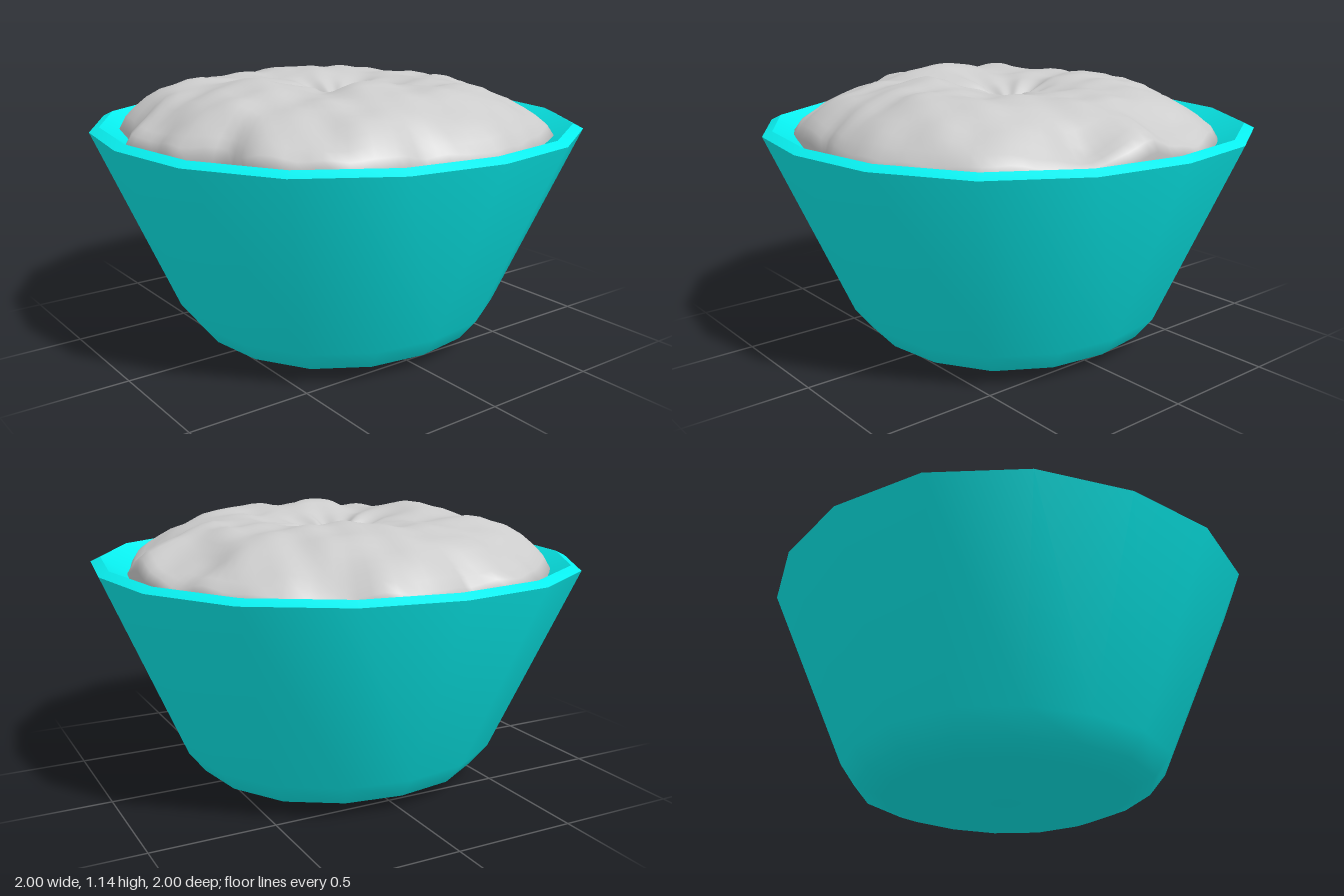
import * as THREE from 'three';
import { toCreasedNormals } from 'three/addons/utils/BufferGeometryUtils.js';

// Linear lookup in rows of [key, value, value, ...]
function lookup(rows, k, column) {
  const i = Math.max(1, rows.findIndex((row) => k <= row[0]));
  const [a, b] = [rows[i - 1], rows[i]];
  return THREE.MathUtils.mapLinear(k, a[0], b[0], a[column], b[column]);
}

// Edge of the filling: [angle in degrees from +x towards +z, radius, height]
const EDGE = [
  [0, 0.85, 0.93], [9, 0.86, 0.92], [23, 0.86, 0.89], [45, 0.92, 0.88], [61, 0.88, 0.87],
  [79, 0.87, 0.87], [90, 0.84, 0.87], [101, 0.81, 0.87], [124, 0.9, 0.89], [146, 0.885, 0.91],
  [155, 0.78, 0.88], [169, 0.877, 0.89], [180, 0.85, 0.88], [193, 0.9, 0.88], [203, 0.83, 0.87],
  [214, 0.92, 0.88], [229, 0.886, 0.88], [248, 0.915, 0.89], [258, 0.82, 0.87],
  [281, 0.896, 0.89], [293, 0.847, 0.88], [315, 0.884, 0.88], [337, 0.87, 0.89],
  [350, 0.853, 0.92], [360, 0.85, 0.93],
];

// Filling cross-section from the dimple over the edge to the underside: [radius factor, height]
const SECTION = [
  [0, 0.99], [0.05, 1.01], [0.1, 1.03], [0.15, 1.05], [0.2, 1.063], [0.26, 1.075], [0.34, 1.085],
  [0.4, 1.09], [0.46, 1.092], [0.52, 1.092], [0.58, 1.09], [0.64, 1.082], [0.7, 1.068],
  [0.76, 1.048], [0.82, 1.02], [0.88, 0.982], [0.93, 0.945], [0.97, 0.905], [1, 0.85],
  [0.95, 0.74], [0.83, 0.58], [0.5, 0.47], [0, 0.45],
];
const EDGE_RING = 18;

// Swells and hollows of the filling: [x, z, amount, spread]
const SWELLS = [
  [-0.4, 0.04, 0.045, 0.16], [-0.06, 0.34, 0.045, 0.14], [0.24, 0.55, 0.025, 0.16],
  [-0.62, -0.38, 0.045, 0.17], [0.1, -0.3, 0.03, 0.14], [-0.3, 0.72, 0.02, 0.14],
  [-0.7, 0.2, 0.025, 0.14], [0.7, 0.25, -0.07, 0.14], [0.7, -0.2, -0.06, 0.16],
  [0.73, 0.02, 0.025, 0.08], [0.4, -0.66, -0.03, 0.17],
];

function surfaceRelief(x, z) {
  let y = 0.009 * Math.sin(17 * x + 11 * z) * Math.sin(14 * z - 9 * x + 2)
    + 0.006 * Math.sin(25 * x - 13 * z) * Math.sin(21 * z + 16 * x + 1);
  for (const [cx, cz, amount, spread] of SWELLS) {
    y += amount * Math.exp(-((x - cx) ** 2 + (z - cz) ** 2) / spread ** 2);
  }
  return y;
}

function fillingGeometry() {
  const sides = 120;
  const positions = [], index = [];
  SECTION.forEach(([factor, height], ring) => {
    for (let j = 0; j < sides; j++) {
      const degrees = (j / sides) * 360;
      const a = THREE.MathUtils.degToRad(degrees);
      // the ragged outline fades into a circle towards the middle
      const r = factor * THREE.MathUtils.lerp(0.87, lookup(EDGE, degrees, 1), factor ** 3);
      const x = r * Math.cos(a), z = r * Math.sin(a);
      let y = height + (lookup(EDGE, degrees, 2) - 0.85) * factor ** 8;
      if (ring <= EDGE_RING) {
        // creases radiate from the dimple
        const crease = Math.exp(-(((factor - 0.16) / 0.12) ** 2)) * Math.min(1, factor * 10);
        y += surfaceRelief(x, z) * Math.min(1, factor * 4);
        y += crease * (0.009 * Math.sin(9 * a + 9 * r) + 0.009 * Math.sin(5 * a - 6 * r + 1.3));
      }
      positions.push(x, y, z);
    }
  });
  // triangle fans close both poles
  for (let i = 0; i < SECTION.length - 1; i++) {
    for (let j = 0; j < sides; j++) {
      const a = i * sides + j, b = i * sides + (j + 1) % sides;
      const c = a + sides, d = b + sides;
      if (i > 0) index.push(a, b, c);
      if (i < SECTION.length - 2) index.push(b, d, c);
    }
  }
  const geometry = new THREE.BufferGeometry();
  geometry.setAttribute('position', new THREE.Float32BufferAttribute(positions, 3));
  geometry.setIndex(index);
  geometry.computeVertexNormals();
  return geometry;
}

function bowlGeometry() {
  // outside from the base up, over the bevelled rim and down the dished inside
  const profile = [
    [0, 0], [0.5, 0.02], [0.6, 0.06], [0.67, 0.15], [1, 0.92], [0.96, 0.94],
    [0.87, 0.875], [0.75, 0.77], [0.5, 0.63], [0, 0.58],
  ].map(([r, y]) => new THREE.Vector2(r, y));
  const geometry = new THREE.LatheGeometry(profile, 16);
  // the plan is very slightly square: wider along the diagonals
  const p = geometry.attributes.position;
  for (let i = 0; i < p.count; i++) {
    const s = 1 + 0.017 * (1 - Math.cos(4 * Math.atan2(p.getZ(i), p.getX(i))));
    p.setXYZ(i, p.getX(i) * s, p.getY(i), p.getZ(i) * s);
  }
  return toCreasedNormals(geometry, 0.7);
}

export function createModel() {
  const model = new THREE.Group();

  const bowl = new THREE.Mesh(bowlGeometry(), new THREE.MeshStandardMaterial({ color: 0x08eeee }));
  bowl.name = 'bowl';

  const filling = new THREE.Mesh(fillingGeometry(), new THREE.MeshStandardMaterial({ color: 0xcccccc }));
  filling.name = 'filling';

  model.add(bowl, filling);
  return model;
}
